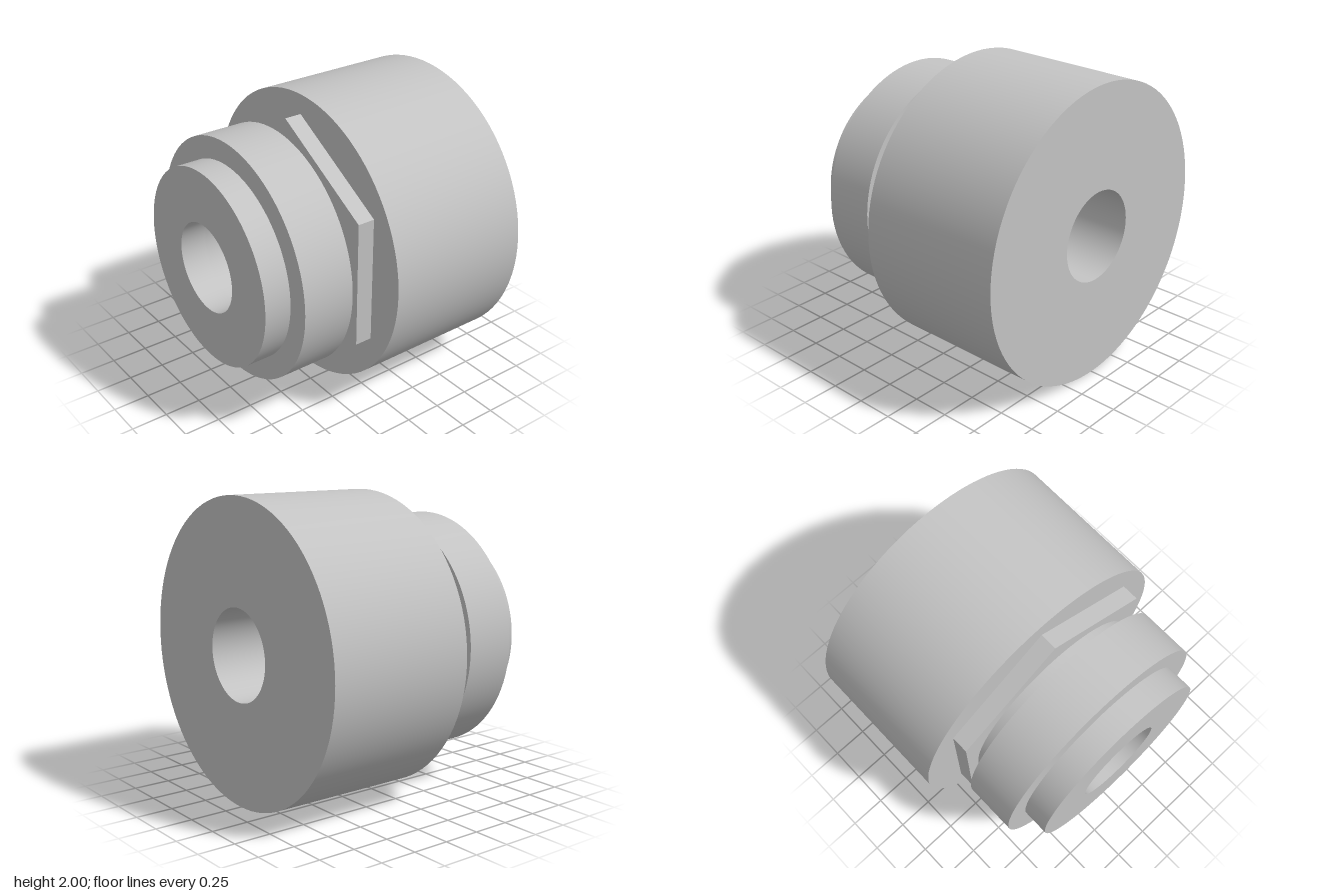
import * as THREE from 'three';
import { toCreasedNormals } from 'three/addons/utils/BufferGeometryUtils.js';

const BORE = 0.305;

// Outline with the through bore, extruded along x from x0 to x1
function ring(outline, x0, x1) {
  outline.holes.push(new THREE.Path().absarc(0, 0, BORE, 0, Math.PI * 2, true));
  const geo = new THREE.ExtrudeGeometry(outline, {
    depth: x1 - x0, bevelEnabled: false, curveSegments: 48,
  });
  geo.rotateY(Math.PI / 2);
  geo.translate(x0, 1, 0);
  return toCreasedNormals(geo, 0.5);
}

const circle = (r) => new THREE.Shape().absarc(0, 0, r, 0, Math.PI * 2, false);

// Hexagon with a corner at the top
function hexagon(r) {
  const points = [];
  for (let i = 0; i < 6; i++) {
    const a = Math.PI / 2 + (i * Math.PI) / 3;
    points.push(new THREE.Vector2(r * Math.cos(a), r * Math.sin(a)));
  }
  return new THREE.Shape(points);
}

export function createModel() {
  const group = new THREE.Group();
  group.name = 'hexCollarBushing';
  const steel = new THREE.MeshStandardMaterial({ color: 0xc4c4c4 });
  steel.name = 'light grey steel';

  const parts = [
    ['endSpigot', circle(0.67), -0.885, -0.703],
    ['collar', circle(0.82), -0.703, -0.347],
    ['neck', circle(0.67), -0.347, -0.255],
    ['hexFlange', hexagon(0.866), -0.255, -0.137],
    ['mainBody', circle(1), -0.137, 0.885],
  ];
  for (const [name, outline, x0, x1] of parts) {
    const mesh = new THREE.Mesh(ring(outline, x0, x1), steel);
    mesh.name = name;
    group.add(mesh);
  }
  return group;
}
